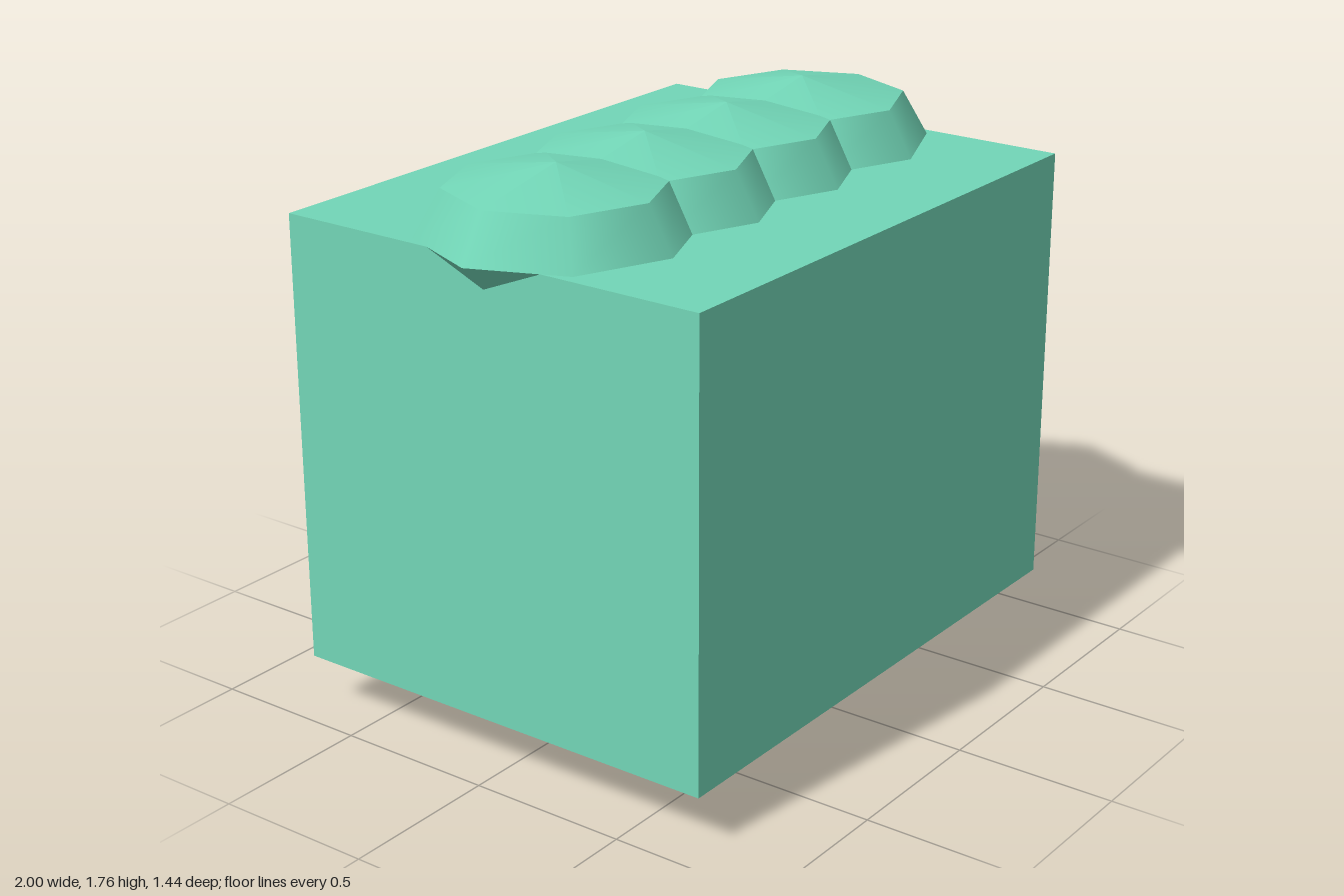
import * as THREE from 'three';

export function createModel() {
  const model = new THREE.Group();
  const green = new THREE.MeshStandardMaterial({ color: 0x72d6b7 });
  green.name = 'mint green';
  const tan = new THREE.MeshStandardMaterial({ color: 0xc8a587 });
  tan.name = 'warm tan';

  const add = (parent, name, geometry, material, x, y, z) => {
    const mesh = new THREE.Mesh(geometry, material);
    mesh.name = name;
    mesh.position.set(x, y, z);
    parent.add(mesh);
    return mesh;
  };

  // Short six-sided stem with corners along x
  const stemHeight = 0.165;
  add(model, 'stem', new THREE.CylinderGeometry(0.12, 0.12, stemHeight, 6), tan, 0, stemHeight / 2, 0)
    .rotation.y = Math.PI / 6;

  // Main block
  const top = 1.56;
  add(model, 'block', new THREE.BoxGeometry(1.834, top - stemHeight, 1.44), green, 0, (top + stemHeight) / 2, 0);

  // Row of overlapping eight-sided domes, half sunk into the block;
  // separate bands keep the rims sharp and the sides smooth
  const rim = new THREE.CylinderGeometry(0.32, 0.4, 0.14, 8, 1, true);
  const cap = new THREE.ConeGeometry(0.32, 0.06, 8, 1, true);
  const underside = new THREE.CylinderGeometry(0.4, 0.2, 0.2, 8, 1, true);
  for (const x of [-0.6, -0.2, 0.2, 0.6]) {
    const dome = new THREE.Group();
    dome.name = 'dome';
    dome.position.set(x, top, 0);
    add(dome, 'domeRim', rim, green, 0, 0.07, 0);
    add(dome, 'domeCap', cap, green, 0, 0.17, 0);
    add(dome, 'domeUnderside', underside, green, 0, -0.1, 0);
    model.add(dome);
  }

  return model;
}
